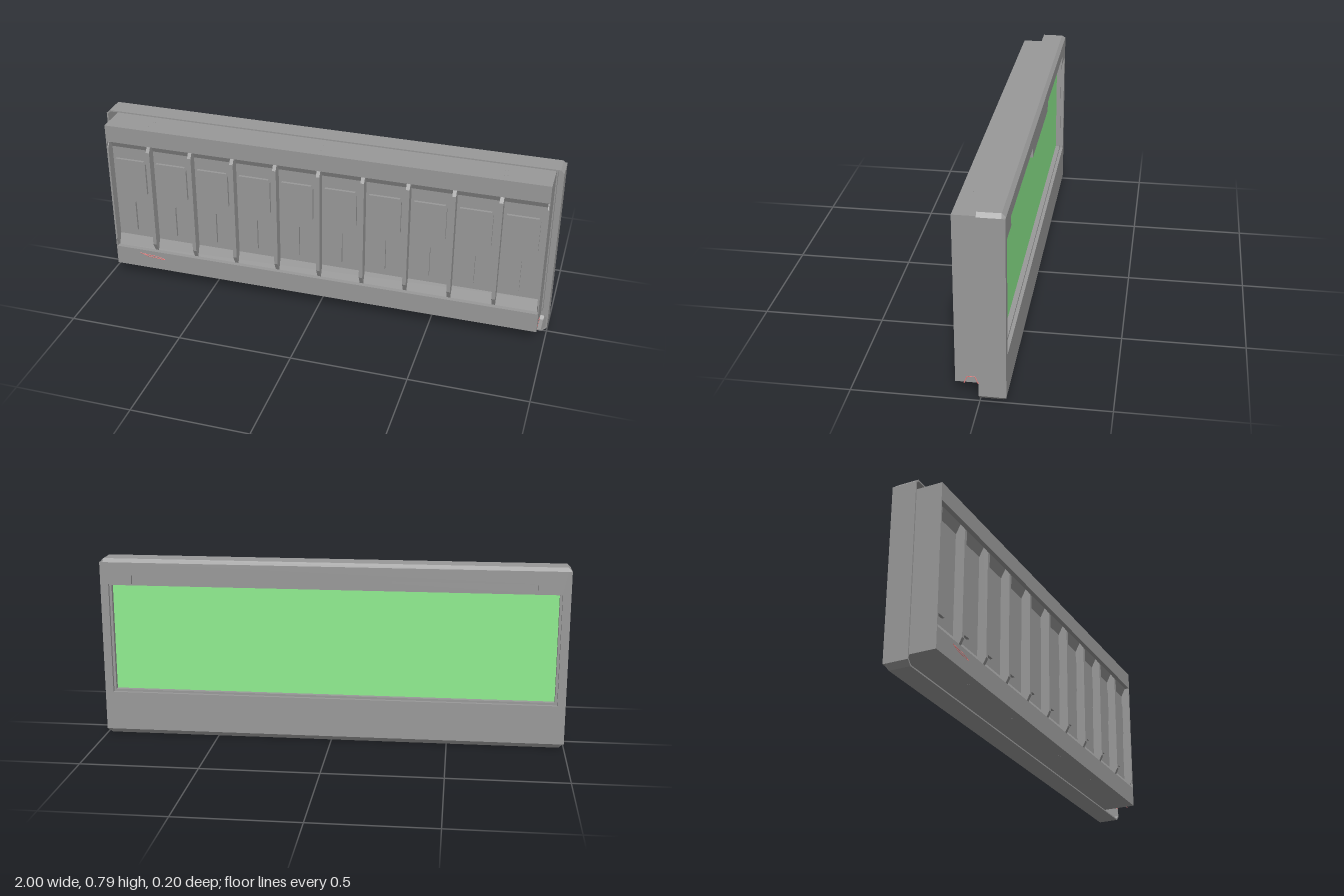
import * as THREE from 'three';

const grey = new THREE.MeshStandardMaterial({ color: 0x999999, flatShading: true });
const green = new THREE.MeshStandardMaterial({ color: 0x90ee90 });
const red = new THREE.MeshStandardMaterial({ color: 0xf08080 });

const outline = (pts, Type = THREE.Shape) => new Type(pts.map(p => new THREE.Vector2(...p)));
const rect = (x0, x1, y0, y1) => [[x0, y0], [x1, y0], [x1, y1], [x0, y1]];

// Rectangle with cut corners: x half width, a cut below, b cut above
const cutRect = (x, y0, y1, a, b) => [
  [-x + a, y0], [x - a, y0], [x, y0 + a], [x, y1 - b],
  [x - b, y1], [-x + b, y1], [-x, y1 - b], [-x, y0 + a],
];

// Plate in the xy plane from z0 to z1, with an optional hole
function plate(pts, hole, z0, z1) {
  const shape = outline(pts);
  if (hole) shape.holes.push(outline(hole, THREE.Path));
  return new THREE.ExtrudeGeometry(shape, { depth: z1 - z0, bevelEnabled: false }).translate(0, 0, z0);
}

// Cross-section of [z, y] points extruded along x
function alongX(pts, x0, x1) {
  return new THREE.ExtrudeGeometry(outline(pts), { depth: x1 - x0, bevelEnabled: false })
    .rotateY(-Math.PI / 2).translate(x1, 0, 0);
}

export function createModel() {
  const group = new THREE.Group();
  const add = (name, geometry, material = grey) => {
    const mesh = new THREE.Mesh(geometry, material);
    mesh.name = name;
    group.add(mesh);
    return mesh;
  };

  const left = -0.967, right = 0.965, pitch = (right - left) / 10;
  const floor = 0.06, lip = 0.08, front = 0.1;

  // Tray: the recess steps in at the lip, then slopes gently to its floor
  add('tray', alongX([
    [-0.055, 0.055], [front, 0.055], [front, 0.145], [lip, 0.145], [floor, 0.195],
    [floor, 0.64], [lip, 0.68], [front, 0.68], [front, 0.757], [-0.055, 0.757],
  ], left, right));

  // Thin walls closing both ends of the recess
  const wall = [[floor - 0.01, 0.14], [front, 0.14], [front, 0.685], [floor - 0.01, 0.685]];
  add('endWall', alongX(wall, left, left + 0.004));
  add('endWall', alongX(wall, right - 0.004, right));

  // Dividing ribs with tapered ends, half ribs at both sides
  const rib = [
    [floor - 0.01, 0.145], [lip, 0.145], [front, 0.185],
    [front, 0.65], [lip, 0.68], [floor - 0.01, 0.68],
  ];
  for (let i = 0; i <= 10; i++) {
    const x = left + i * pitch;
    add('rib', alongX(rib, Math.max(x - 0.008, left + 0.001), Math.min(x + 0.008, right - 0.001)));
  }

  // Raised stepped panel in each bay
  const panel = plate([
    [0.022, 0.23], [0.1, 0.23], [0.1, 0.375], [0.162, 0.425],
    [0.162, 0.57], [0.155, 0.585], [0.022, 0.585],
  ], null, floor - 0.005, floor + 0.012);
  for (let i = 0; i < 10; i++) add('bayPanel', panel).position.x = left + i * pitch;

  // Thin rim, open towards the front around the tray
  const edge = cutRect(1, 0, 0.785, 0.02, 0.015);
  add('rim', plate(edge, cutRect(0.994, 0.006, 0.779, 0.018, 0.013), -0.085, 0.005));
  add('rimFillet', alongX([[-0.086, 0.772], [-0.07, 0.78], [-0.086, 0.78]], -0.982, 0.982));
  add('rimFillet', alongX([[-0.086, 0.005], [-0.07, 0.005], [-0.086, 0.02]], -0.978, 0.978));

  // Rear bezel with two finger notches above the opening
  const bezel = plate(edge, [
    [-0.965, 0.19], [0.965, 0.19], [0.965, 0.675],
    [0.863, 0.675], [0.863, 0.715], [0.257, 0.715], [0.257, 0.675],
    [-0.257, 0.675], [-0.257, 0.715], [-0.863, 0.715], [-0.863, 0.675], [-0.965, 0.675],
  ], -0.1, -0.085);
  // Chamfer: the rear face ends lower at the top and higher at the bottom
  const p = bezel.attributes.position;
  for (let i = 0; i < p.count; i++) {
    if (p.getZ(i) < -0.095) p.setY(i, THREE.MathUtils.clamp(p.getY(i), 0.02, 0.77));
  }
  bezel.computeVertexNormals();
  add('bezel', bezel);

  // Stepped inner frame and screen
  add('innerFrame', plate(rect(-0.97, 0.97, 0.055, 0.757), rect(-0.955, 0.955, 0.2, 0.668), -0.0855, -0.055));
  add('screen', new THREE.BoxGeometry(1.915, 0.48, 0.01).translate(0, 0.434, -0.06), green);

  // Small slots marked on the top and bottom faces
  const mark = new THREE.BoxGeometry(0.02, 0.003, 0.006);
  for (const x of [-0.774, 0, 0.774])
    for (const z of [0.012, 0.055]) add('topSlot', mark).position.set(x, 0.756, z);
  for (const x of [-0.64, -0.27, 0.19, 0.54]) add('bottomSlot', mark).position.set(x, 0.056, 0.055);

  // Fine wire clips lying almost flush with the tray
  const wire = (pts) => {
    const path = new THREE.CurvePath();
    const v = pts.map(q => new THREE.Vector3(...q));
    for (let i = 1; i < v.length; i++) path.add(new THREE.LineCurve3(v[i - 1], v[i]));
    add('wireClip', new THREE.TubeGeometry(path, 24, 0.002, 6), red);
  };
  const clipX = right - 0.001, clipZ = front - 0.001;
  wire([[clipX, 0.05, 0.066], [clipX, 0.08, 0.054], [clipX, 0.08, 0.024], [clipX, 0.05, 0.012]]);
  wire([[-0.85, 0.128, clipZ], [-0.81, 0.115, clipZ], [-0.73, 0.109, clipZ]]);
  wire([[-0.84, 0.125, clipZ], [-0.77, 0.121, clipZ], [-0.73, 0.112, clipZ]]);

  return group;
}
